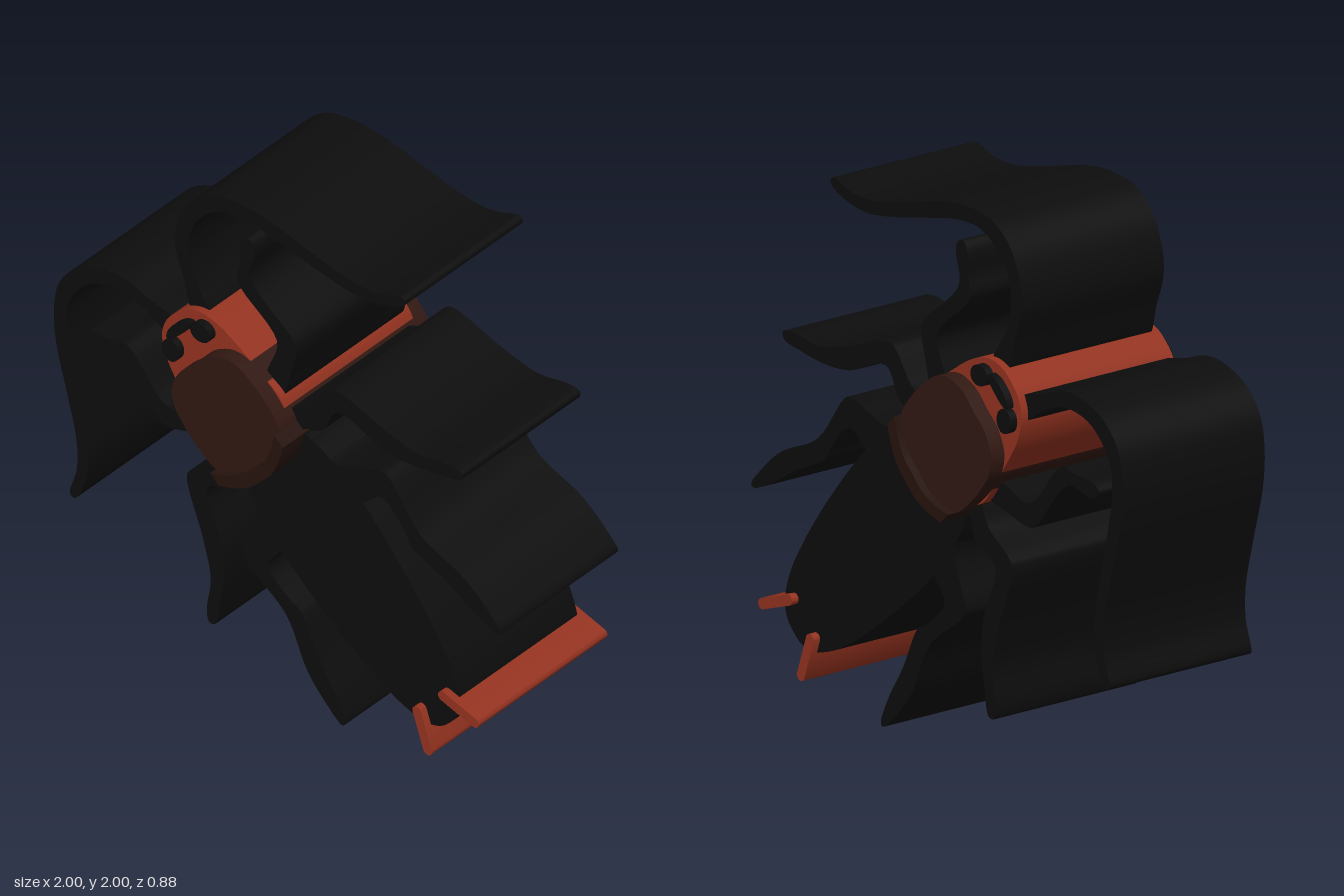
import * as THREE from 'three';
import { toCreasedNormals } from 'three/addons/utils/BufferGeometryUtils.js';

const BLACK = 0x0d0d0d, RED = 0x963320, BROWN = 0x321812, DARK_BROWN = 0x27140f;

// The insect lies along the diagonal x + y = 1; this reflects a point across it
const mirror = ([x, y]) => [1 - y, 1 - x];
const mirrorAll = (pts) => pts.map(mirror).reverse();

// Smooth outline through the points; closed, or open with straight closing edge
function outline(pts, closed = true) {
  const curve = new THREE.CatmullRomCurve3(
    pts.map(([x, y]) => new THREE.Vector3(x, y, 0)), closed, 'centripetal');
  const out = curve.getPoints(pts.length * 6).map((p) => new THREE.Vector2(p.x, p.y));
  if (closed) out.pop();
  return out;
}

// Flat slab, symmetric about z = 0
function slab(name, points, halfDepth, color) {
  const geo = new THREE.ExtrudeGeometry(new THREE.Shape(points),
    { depth: halfDepth * 2, bevelEnabled: false });
  geo.translate(0, 0, -halfDepth);
  const mesh = new THREE.Mesh(toCreasedNormals(geo, 0.6), new THREE.MeshStandardMaterial({ color }));
  mesh.name = name;
  return mesh;
}

// Rounded bar from a to b
function capsule(a, b, r) {
  const ang = Math.atan2(b[1] - a[1], b[0] - a[0]);
  const pts = [];
  for (const [c, start] of [[b, ang - Math.PI / 2], [a, ang + Math.PI / 2]]) {
    for (let i = 0; i <= 10; i++) {
      const t = start + (Math.PI * i) / 10;
      pts.push(new THREE.Vector2(c[0] + r * Math.cos(t), c[1] + r * Math.sin(t)));
    }
  }
  return pts;
}

// Upper-side limbs; the others are reflections
const LIMBS = {
  antenna: [
    [-0.377, 1.45], [-0.42, 1.578], [-0.457, 1.695], [-0.446, 1.8], [-0.393, 1.909], [-0.302, 1.979],
    [-0.18, 2.0], [-0.045, 1.989], [0.142, 1.941], [0.329, 1.898], [0.447, 1.898], [0.56, 1.928],
    [0.57, 1.906], [0.516, 1.872], [0.382, 1.845], [0.249, 1.861], [0.06, 1.904], [-0.126, 1.941],
    [-0.233, 1.936], [-0.313, 1.893], [-0.377, 1.813], [-0.398, 1.695], [-0.366, 1.588], [-0.3, 1.47]],
  frontLeg: [
    [-0.136, 1.872], [-0.163, 1.84], [-0.168, 1.749], [-0.182, 1.684], [-0.158, 1.642], [-0.003, 1.497],
    [-0.04, 1.37], [-0.07, 1.28], [0.02, 1.27], [0.056, 1.374], [0.083, 1.503], [0.067, 1.535],
    [-0.12, 1.706], [-0.104, 1.818], [-0.11, 1.855]],
  middleLeg: [
    [0.03, 1.22], [0.136, 1.278], [0.217, 1.385], [0.254, 1.406], [0.489, 1.332], [0.639, 1.299],
    [0.778, 1.316], [0.826, 1.305], [0.821, 1.278], [0.73, 1.257], [0.596, 1.241], [0.468, 1.251],
    [0.27, 1.316], [0.2, 1.209], [0.126, 1.182], [0.03, 1.13]],
  hindLeg: [
    [0.11, 1.16], [0.259, 1.096], [0.468, 1.155], [0.5, 1.139], [0.639, 0.963], [0.837, 0.866],
    [0.944, 0.775], [0.997, 0.711], [0.987, 0.7], [0.89, 0.738], [0.757, 0.818], [0.596, 0.898],
    [0.575, 0.936], [0.468, 1.043], [0.377, 0.985], [0.195, 0.947]],
};

export function createModel() {
  const group = new THREE.Group();

  // Antennae and six legs
  for (const [name, pts] of Object.entries(LIMBS)) {
    group.add(slab(name + 'Upper', outline(pts), 0.32, BLACK));
    group.add(slab(name + 'Lower', outline(mirrorAll(pts)), 0.32, BLACK));
  }

  // Abdomen
  const abdomen = [[0.03, 1.13], [0.14, 1.15], [0.26, 1.085], [0.377, 0.989], [0.57, 0.77],
    [0.714, 0.572], [0.789, 0.438], [0.816, 0.332], [0.802, 0.27]];
  group.add(slab('abdomen', outline([...abdomen, [0.77, 0.23], ...mirrorAll(abdomen)], false), 0.32, BLACK));

  // Tail prongs
  const a = [0.762, 0.353], b = [0.904, 0.305];
  group.add(slab('tailProngUpper', capsule(a, b, 0.02), 0.35, RED));
  group.add(slab('tailProngLower', capsule(mirror(a), mirror(b), 0.02), 0.35, RED));

  // Head, running back under the shield
  const head = [[0.075, 1.2], [0.035, 1.29], [-0.04, 1.345], [-0.11, 1.396], [-0.233, 1.471],
    [-0.324, 1.492], [-0.393, 1.471]];
  group.add(slab('head', outline([...head, [-0.436, 1.436], ...mirrorAll(head)], false), 0.35, RED));

  // Eyes and the crescent between them
  const eye = [];
  for (let i = 0; i < 24; i++) {
    const t = (i / 24) * Math.PI * 2;
    eye.push([-0.297 + 0.045 * Math.cos(t), 1.431 + 0.038 * Math.sin(t)]);
  }
  const toV = (pts) => pts.map(([x, y]) => new THREE.Vector2(x, y));
  group.add(slab('eyeUpper', toV(eye), 0.38, BLACK));
  group.add(slab('eyeLower', toV(mirrorAll(eye)), 0.38, BLACK));
  const outer = [[-0.35, 1.425], [-0.345, 1.447], [-0.375, 1.443]];
  const inner = [[-0.41, 1.375], [-0.425, 1.352]];
  group.add(slab('browCrescent',
    outline([...outer, [-0.414, 1.414], ...mirrorAll(outer), ...mirrorAll(inner).slice(2),
      [-0.385, 1.385]]), 0.38, BLACK));

  // Shield behind the head
  const shield = [[-0.01, 1.01], [0.035, 1.065], [0.07, 1.13], [0.085, 1.2], [0.03, 1.283],
    [-0.04, 1.348], [-0.1, 1.388], [-0.17, 1.399], [-0.25, 1.365]];
  group.add(slab('shield', outline([...shield, [-0.307, 1.307], ...mirrorAll(shield.slice(1))]), 0.41, BROWN));

  // Curved rim along the back of the shield
  const rimOuter = [[0.122, 1.165], [0.102, 1.096], [0.07, 1.03]];
  const rimInner = [[0.03, 1.06], [0.064, 1.125], [0.085, 1.202]];
  const rim = [
    ...outline([...rimOuter, [0.022, 0.978], ...mirrorAll(rimOuter)], false),
    ...outline([...mirrorAll(rimInner), [-0.015, 1.015], ...rimInner], false)];
  group.add(slab('shieldRim', rim, 0.44, DARK_BROWN));

  return group;
}
